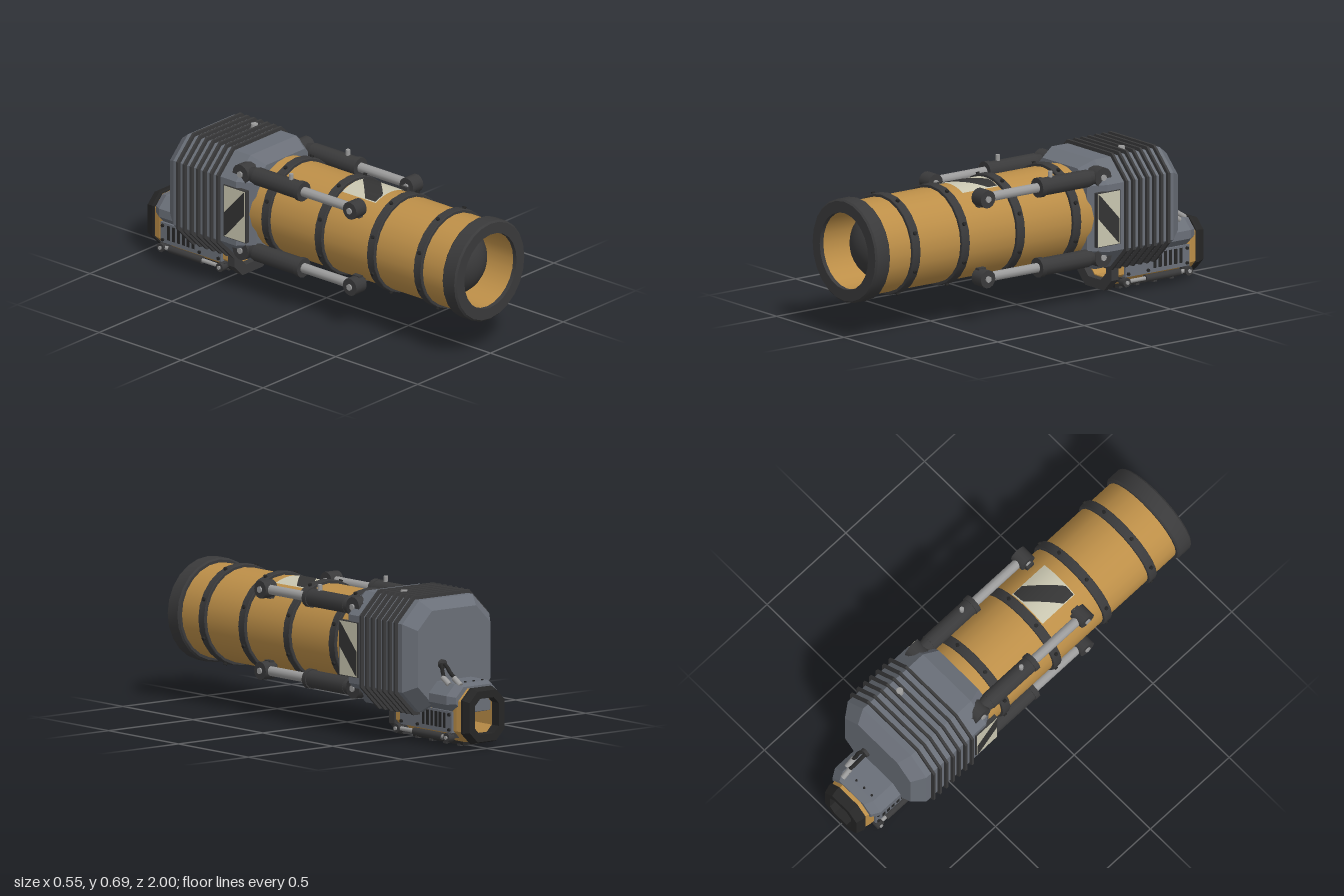
import * as THREE from 'three';
import { toCreasedNormals } from 'three/addons/utils/BufferGeometryUtils.js';

const mat = (color, extra = {}) => new THREE.MeshStandardMaterial({ color, ...extra });
const YELLOW = mat(0xbd8f48), GREY = mat(0x6a6f78), DARK = mat(0x3a3a3b), BLACK = mat(0x262626);
const STEEL = mat(0x9c9c9c), LINER = mat(0xbd8f48, { side: THREE.BackSide });
const CREAM = mat(0xc9c6b0, { side: THREE.DoubleSide }), STRIPE = mat(0x343434, { side: THREE.DoubleSide });
const AXIS_Y = 0.405, HANDLE_Y = 0.15;

function add(parent, name, geo, material, x = 0, y = 0, z = 0) {
  const mesh = new THREE.Mesh(geo, material);
  mesh.name = name;
  mesh.position.set(x, y, z);
  parent.add(mesh);
  return mesh;
}
const box = (w, h, d) => new THREE.BoxGeometry(w, h, d);
const rodZ = (r, len, n = 12, r2 = r) => new THREE.CylinderGeometry(r, r2, len, n).rotateX(Math.PI / 2);
const rodX = (r, len, n = 14) => new THREE.CylinderGeometry(r, r, len, n).rotateZ(Math.PI / 2);

// Ring around the z axis with bevelled outer edges
function ring(ri, ro, z0, z1, b) {
  const pts = [[ri, z0], [ro - b, z0], [ro, z0 + b], [ro, z1 - b], [ro - b, z1], [ri, z1], [ri, z0]];
  const geo = new THREE.LatheGeometry(pts.map(p => new THREE.Vector2(...p)), 24).rotateX(Math.PI / 2);
  return toCreasedNormals(geo, 0.5);
}

// Loft through octagonal sections [z, halfWidth, halfHeight, cornerCut]
function octLoft(sections, capped = true) {
  const rings = sections.map(([z, w, h, c]) => [
    [w, -h + c], [w, h - c], [w - c, h], [-w + c, h], [-w, h - c], [-w, -h + c], [-w + c, -h], [w - c, -h],
  ].map(([x, y]) => [x, y, z]));
  const pos = [];
  const tri = (...v) => v.forEach(p => pos.push(...p));
  for (let s = 0; s < rings.length - 1; s++) {
    const f = rings[s], k = rings[s + 1];
    for (let i = 0; i < 8; i++) {
      const j = (i + 1) % 8;
      tri(f[i], k[i], k[j]);
      tri(f[i], k[j], f[j]);
    }
  }
  if (capped) {
    const f = rings[0], k = rings[rings.length - 1];
    for (let i = 1; i < 7; i++) {
      tri(f[0], f[i], f[i + 1]);
      tri(k[0], k[i + 1], k[i]);
    }
  }
  const geo = new THREE.BufferGeometry();
  geo.setAttribute('position', new THREE.Float32BufferAttribute(pos, 3));
  geo.computeVertexNormals();
  return geo;
}

// Thin patch spanning u0..u1, between lo(u) and hi(u), placed by place(u, v)
function patch(u0, u1, lo, hi, place) {
  const geo = new THREE.PlaneGeometry(1, 1, 12, 1);
  const p = geo.attributes.position;
  for (let i = 0; i < p.count; i++) {
    const u = THREE.MathUtils.lerp(u0, u1, p.getX(i) + 0.5);
    p.setXYZ(i, ...place(u, THREE.MathUtils.lerp(lo(u), hi(u), p.getY(i) + 0.5)));
  }
  geo.computeVertexNormals();
  return geo;
}

function buildBarrel() {
  const g = new THREE.Group();
  g.name = 'barrel';
  g.position.y = AXIS_Y;
  add(g, 'barrelTube', new THREE.CylinderGeometry(0.22, 0.22, 1.26, 24, 1, true).rotateX(Math.PI / 2), YELLOW, 0, 0, 0.34);
  add(g, 'barrelLiner', new THREE.CylinderGeometry(0.179, 0.179, 0.36, 24, 1, true).rotateX(Math.PI / 2), LINER, 0, 0, 0.8);
  add(g, 'muzzleRing', ring(0.18, 0.241, 0.915, 1, 0.008), DARK);
  const dome = new THREE.SphereGeometry(0.18, 24, 10, 0, Math.PI * 2, 0, Math.PI / 2).rotateX(Math.PI / 2);
  add(g, 'muzzleDome', dome, DARK, 0, 0, 0.74);
  for (const z of [0.76, 0.475, 0.155, -0.17]) {
    add(g, 'band', ring(0.215, 0.235, z - 0.023, z + 0.023, 0.003), DARK);
    for (let i = 0; i < 8; i++) {
      const a = (i + 0.5) * Math.PI / 4;
      const bolt = add(g, 'bandBolt', new THREE.CylinderGeometry(0.009, 0.009, 0.012, 8), BLACK, Math.cos(a) * 0.237, Math.sin(a) * 0.237, z);
      bolt.rotation.z = a - Math.PI / 2;
    }
  }
  // Warning panel wrapped over the top
  const wrap = r => (x, z) => [x, Math.sqrt(r * r - x * x), z];
  const clampZ = z => THREE.MathUtils.clamp(z, 0.19, 0.385);
  add(g, 'topWarningPanel', patch(-0.1, 0.1, () => 0.185, () => 0.39, wrap(0.2235)), CREAM);
  add(g, 'topWarningStripe', patch(-0.097, 0.097, x => clampZ(0.225 - x), x => clampZ(0.34 - x), wrap(0.2255)), STRIPE);
  return g;
}

function buildBody() {
  const g = new THREE.Group();
  g.name = 'body';
  g.position.y = AXIS_Y;
  add(g, 'bodyShell', octLoft([
    [-0.25, 0.2, 0.222, 0.07], [-0.325, 0.258, 0.258, 0.1], [-0.705, 0.258, 0.258, 0.1], [-0.765, 0.215, 0.215, 0.085],
  ]), GREY);
  for (let i = 0; i < 7; i++) {
    const z = -0.425 - i * 0.0405;
    add(g, 'coolingFin', octLoft([[z + 0.006, 0.275, 0.275, 0.11], [z - 0.006, 0.275, 0.275, 0.11]]), DARK);
  }
  add(g, 'topKnob', new THREE.CylinderGeometry(0.016, 0.02, 0.03, 10), STEEL, 0.1, 0.265, -0.528);
  // Side warning panels
  for (const s of [1, -1]) {
    add(g, 'sidePanelPlate', box(0.02, 0.256, 0.136), DARK, s * 0.253, 0, -0.327);
    const at = x => (z, y) => [s * x, y, z];
    const clampY = y => THREE.MathUtils.clamp(y, -0.122, 0.122);
    add(g, 'sideWarningPanel', patch(-0.39, -0.264, () => -0.125, () => 0.125, at(0.2645)), CREAM);
    add(g, 'sideWarningStripe', patch(-0.388, -0.266, z => clampY(-0.06 + (z + 0.327) * 1.1), z => clampY(0.06 + (z + 0.327) * 1.1), at(0.2665)), STRIPE);
  }
  return g;
}

// Long piston linking body and barrel; sx is the side, sy is up or down
function buildPiston(sx, sy) {
  const g = new THREE.Group();
  g.name = 'piston';
  g.position.set(sx * 0.195, AXIS_Y + sy * 0.188, 0);
  add(g, 'pistonRod', rodZ(0.023, 0.32, 10), STEEL, 0, 0, 0.17);
  add(g, 'pistonCylinder', rodZ(0.042, 0.28, 12), DARK, 0, 0, -0.11);
  add(g, 'pistonCollar', rodZ(0.047, 0.025, 12), DARK, 0, 0, 0.022);
  add(g, 'pistonNeck', rodZ(0.042, 0.06, 12, 0.03), DARK, 0, 0, -0.27);
  for (const [z, r, w] of [[0.345, 0.042, 0.07], [-0.32, 0.047, 0.075]]) {
    add(g, 'pistonKnuckle', rodX(r, w), DARK, 0, 0, z);
    add(g, 'pistonPin', rodX(0.015, w + 0.014, 10), STEEL, 0, 0, z);
  }
  add(g, 'frontMount', box(0.045, 0.05, 0.04), DARK, -sx * 0.03, -sy * 0.02, 0.345);
  add(g, 'rearMount', box(0.05, 0.06, 0.08), DARK, -sx * 0.01, -sy * 0.01, -0.33);
  if (sy > 0) add(g, 'pistonValve', new THREE.CylinderGeometry(0.011, 0.011, 0.03, 8), STEEL, 0, 0.052, -0.042);
  return g;
}

function buildHandle() {
  const g = new THREE.Group();
  g.name = 'lowerHousing';
  g.position.y = HANDLE_Y;
  const tube = (zs, inner) => octLoft([[zs[0][0], ...inner], ...zs, [zs[zs.length - 1][0], ...inner], [zs[0][0], ...inner]], false);
  const hole = [0.078, 0.09, 0.035];
  add(g, 'housingTube', tube([[-0.485, 0.115, 0.122, 0.055], [-0.92, 0.115, 0.125, 0.055], [-0.965, 0.105, 0.12, 0.05]], hole), YELLOW);
  add(g, 'housingFrontFrame', tube([[-0.45, 0.125, 0.14, 0.055], [-0.49, 0.125, 0.14, 0.055]], [0.085, 0.095, 0.04]), DARK);
  add(g, 'housingRearCap', tube([[-0.95, 0.113, 0.128, 0.052], [-0.965, 0.113, 0.128, 0.052], [-1, 0.103, 0.117, 0.048]], [0.07, 0.083, 0.03]), BLACK);
  add(g, 'innerPost', new THREE.CylinderGeometry(0.021, 0.021, 0.165, 10), DARK, 0, 0.008, -0.6);
  // Underside plate with ribs
  add(g, 'bottomPlate', box(0.1, 0.022, 0.36), BLACK, 0, -0.133, -0.71);
  for (let i = 0; i < 4; i++) add(g, 'bottomRib', box(0.104, 0.01, 0.02), DARK, 0, -0.145, -0.56 - i * 0.1);
  // Upper cover: octagonal hood sloping down to the rear
  add(g, 'upperCover', octLoft([[-0.75, 0.15, 0.07, 0.05], [-0.89, 0.15, 0.07, 0.05], [-0.93, 0.125, 0.06, 0.045]]), GREY, 0, 0.073, 0)
    .geometry.attributes.position.needsUpdate = true;
  for (const x of [-0.075, -0.025, 0.025, 0.075]) add(g, 'coverBolt', new THREE.CylinderGeometry(0.006, 0.006, 0.008, 6), BLACK, x, 0.144, -0.875);

  for (const s of [1, -1]) {
    // Vented side plate
    add(g, 'sidePlate', box(0.024, 0.1, 0.37), GREY, s * 0.115, -0.03, -0.715);
    for (let i = 0; i < 6; i++) add(g, 'vent', box(0.006, 0.07, 0.016), BLACK, s * 0.127, -0.025, -0.7 - i * 0.03);
    for (const z of [-0.545, -0.66, -0.885]) for (const y of [0.005, -0.065]) add(g, 'plateBolt', rodX(0.008, 0.012, 8), BLACK, s * 0.129, y, z);
    // Small piston along the bottom edge
    const p = new THREE.Group();
    p.name = 'smallPiston';
    p.position.set(s * 0.13, -0.1, 0);
    add(p, 'smallRod', rodZ(0.01, 0.38, 8), STEEL, 0, 0, -0.71);
    add(p, 'smallCylinder', rodZ(0.017, 0.2, 10), DARK, 0, 0, -0.74);
    for (const z of [-0.525, -0.885]) {
      add(p, 'smallKnuckle', rodX(0.022, 0.032, 10), DARK, 0, 0, z);
      add(p, 'smallPin', rodX(0.009, 0.046, 8), STEEL, 0, 0, z);
      add(p, 'smallMount', box(0.045, 0.025, 0.03), DARK, -s * 0.025, 0.008, z);
    }
    g.add(p);
  }
  return g;
}

// Two cables from the back of the body down to the cover
function buildCables() {
  const g = new THREE.Group();
  g.name = 'cables';
  for (const [dx, dz] of [[0, 0], [0.025, 0.05]]) {
    const pts = [[0.07, 0.37, -0.755], [0.07 + dx, 0.365, -0.79], [0.075 + dx, 0.335, -0.83 + dz / 2], [0.08 + dx, 0.315, -0.87 + dz]];
    const curve = new THREE.CatmullRomCurve3(pts.map(p => new THREE.Vector3(...p)));
    add(g, 'cable', new THREE.TubeGeometry(curve, 12, 0.009, 8), BLACK);
    const plug = add(g, 'cablePlug', rodZ(0.013, 0.055, 10), STEEL, 0.08 + dx, 0.302, -0.885 + dz);
    plug.rotation.x = -0.55;
  }
  add(g, 'cableSocket', rodZ(0.022, 0.02, 10), DARK, 0.075, 0.37, -0.77);
  return g;
}

export function createModel() {
  const model = new THREE.Group();
  model.name = 'cannon';
  model.add(buildBarrel(), buildBody(), buildHandle(), buildCables());
  for (const sx of [1, -1]) for (const sy of [1, -1]) model.add(buildPiston(sx, sy));
  return model;
}
